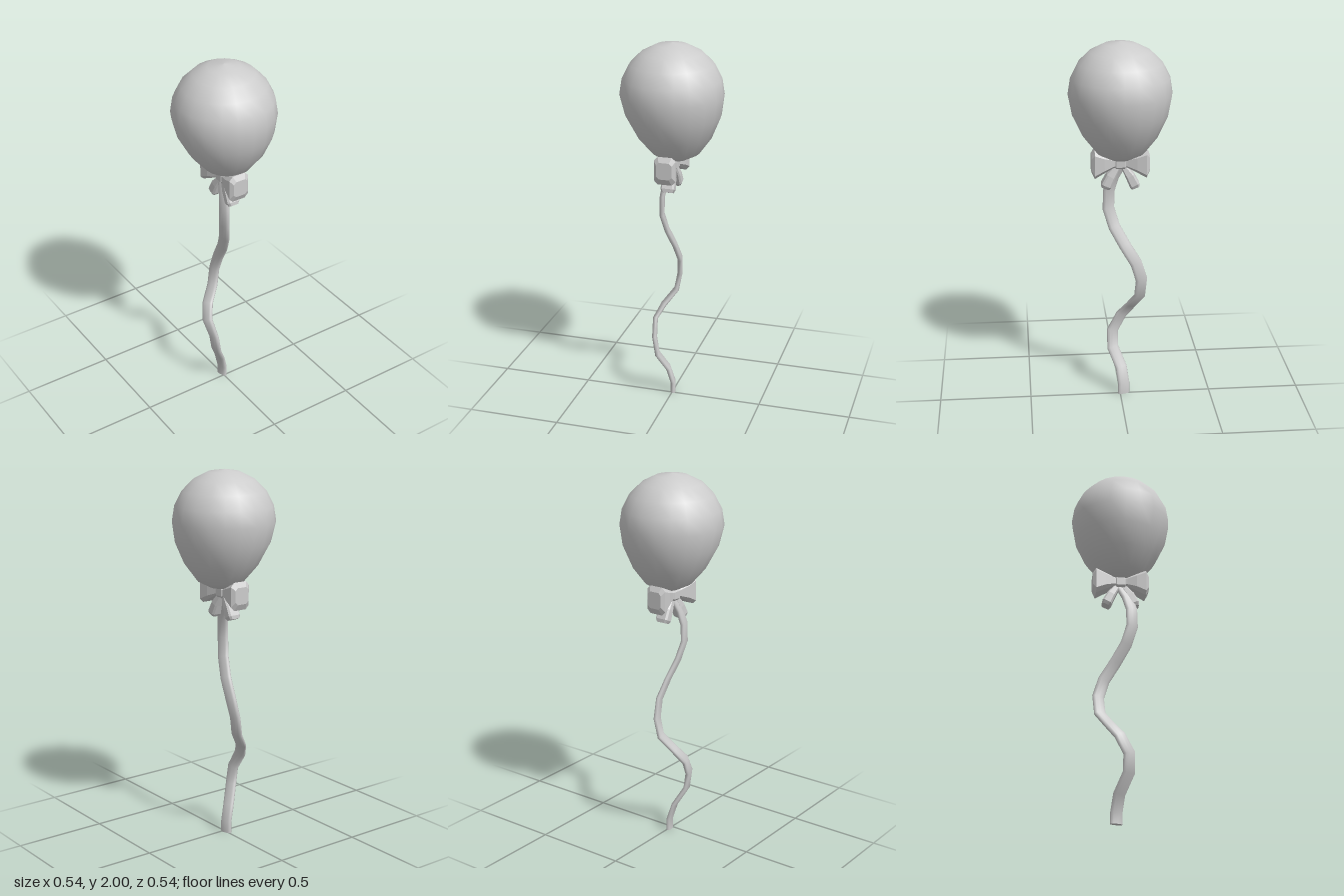
import * as THREE from 'three';

const grey = new THREE.MeshStandardMaterial({ color: 0xcccccc });

// Joins closed rings of Vector3 into a capped skin; flat = hard facets.
function loft(rings, flat) {
  const n = rings[0].length, pts = [], index = [];
  rings.forEach(r => pts.push(...r));
  for (let i = 0; i < rings.length - 1; i++) {
    for (let j = 0; j < n; j++) {
      const a = i * n + j, b = i * n + (j + 1) % n;
      index.push(a, b, b + n, a, b + n, a + n);
    }
  }
  // caps use their own vertices so their rims stay sharp
  const s = pts.length, e = s + n;
  pts.push(...rings[0], ...rings[rings.length - 1]);
  for (let j = 1; j < n - 1; j++) index.push(s, s + j + 1, s + j, e, e + j, e + j + 1);
  let g = new THREE.BufferGeometry().setFromPoints(pts);
  g.setIndex(index);
  if (flat) g = g.toNonIndexed();
  g.computeVertexNormals();
  return g;
}

// Chamfered rectangle standing across a direction in the z-y plane.
function section([z, y, w, h, angle = 0]) {
  const c = 0.35 * Math.min(w, h);
  const outline = [[w, -h + c], [w, h - c], [w - c, h], [-w + c, h],
    [-w, h - c], [-w, -h + c], [-w + c, -h], [w - c, -h]];
  return outline.map(([x, p]) =>
    new THREE.Vector3(x, y + p * Math.cos(angle), z - p * Math.sin(angle)));
}

function add(parent, name, geometry) {
  const m = new THREE.Mesh(geometry, grey);
  m.name = name;
  parent.add(m);
  return m;
}

function balloonGeometry() {
  const profile = [[0, 1.375], [0.055, 1.385], [0.125, 1.42], [0.197, 1.51], [0.25, 1.62]];
  for (let i = 0; i <= 5; i++) {
    const a = i * Math.PI / 10;
    profile.push([i === 5 ? 0 : 0.271 * Math.cos(a), 1.73 + 0.27 * Math.sin(a)]);
  }
  const g = new THREE.LatheGeometry(profile.map(p => new THREE.Vector2(...p)), 20);
  // the lower half leans slightly sideways
  const pos = g.attributes.position;
  for (let i = 0; i < pos.count; i++) {
    pos.setX(i, pos.getX(i) + 0.07 * Math.max(0, 1.73 - pos.getY(i)));
  }
  return g;
}

function ribbonGeometry() {
  const path = [[0, 0, -0.02], [0, 0.06, -0.02], [-0.025, 0.15, -0.008], [-0.075, 0.25, 0.035],
    [-0.09, 0.35, 0.035], [-0.1, 0.44, -0.015], [-0.065, 0.51, -0.065], [-0.005, 0.59, -0.107],
    [0.013, 0.69, -0.115], [0.02, 0.79, -0.085], [0.007, 0.89, -0.025], [-0.018, 0.99, 0.03],
    [-0.038, 1.09, 0.06], [-0.036, 1.19, 0.057], [-0.022, 1.27, 0.035], [-0.005, 1.34, 0.0]
  ].map(p => new THREE.Vector3(...p));
  const wide = new THREE.Vector3(Math.sin(0.25), 0, Math.cos(0.25));
  const last = path.length - 1;
  const rings = path.map((p, i) => {
    const t = path[Math.min(i + 1, last)].clone().sub(path[Math.max(i - 1, 0)]).normalize();
    if (i === 0) t.set(0, 1, 0);
    const u = wide.clone().addScaledVector(t, -wide.dot(t)).normalize();
    const v = t.clone().cross(u);
    // rounded flat strip
    return Array.from({ length: 12 }, (_, k) => {
      const a = k * Math.PI / 6, c = Math.cos(a), s = Math.sin(a);
      return p.clone()
        .addScaledVector(u, 0.033 * Math.sign(c) * Math.abs(c) ** 0.8)
        .addScaledVector(v, 0.014 * Math.sign(s) * Math.abs(s) ** 0.8);
    });
  });
  return loft(rings, false);
}

export function createModel() {
  const group = new THREE.Group();
  group.name = 'balloonOnRibbon';
  add(group, 'balloon', balloonGeometry());
  add(group, 'ribbon', ribbonGeometry());

  // Bow: knot, plus a loop and a tail on each side
  const bow = new THREE.Group();
  bow.name = 'bow';
  group.add(bow);
  add(bow, 'knot', loft([[-0.034, 1.357, 0.026, 0.02], [-0.022, 1.357, 0.036, 0.03],
    [0.022, 1.357, 0.036, 0.03], [0.034, 1.357, 0.026, 0.02]].map(section), true));
  const loop = loft([[0.01, 1.36, 0.028, 0.022], [0.035, 1.36, 0.034, 0.026],
    [0.085, 1.358, 0.05, 0.05], [0.136, 1.355, 0.058, 0.075],
    [0.153, 1.358, 0.042, 0.045]].map(section), true);
  const tail = loft([[0.01, 1.345, 0.022, 0.012, -0.95], [0.05, 1.285, 0.034, 0.024, -1.05],
    [0.074, 1.235, 0.037, 0.027, -1.15], [0.08, 1.219, 0.028, 0.022, -1.2]].map(section), true);
  ['front', 'back'].forEach((side, i) => {
    add(bow, side + 'Loop', loop).rotation.y = i * Math.PI;
    add(bow, side + 'Tail', tail).rotation.y = i * Math.PI;
  });
  return group;
}
